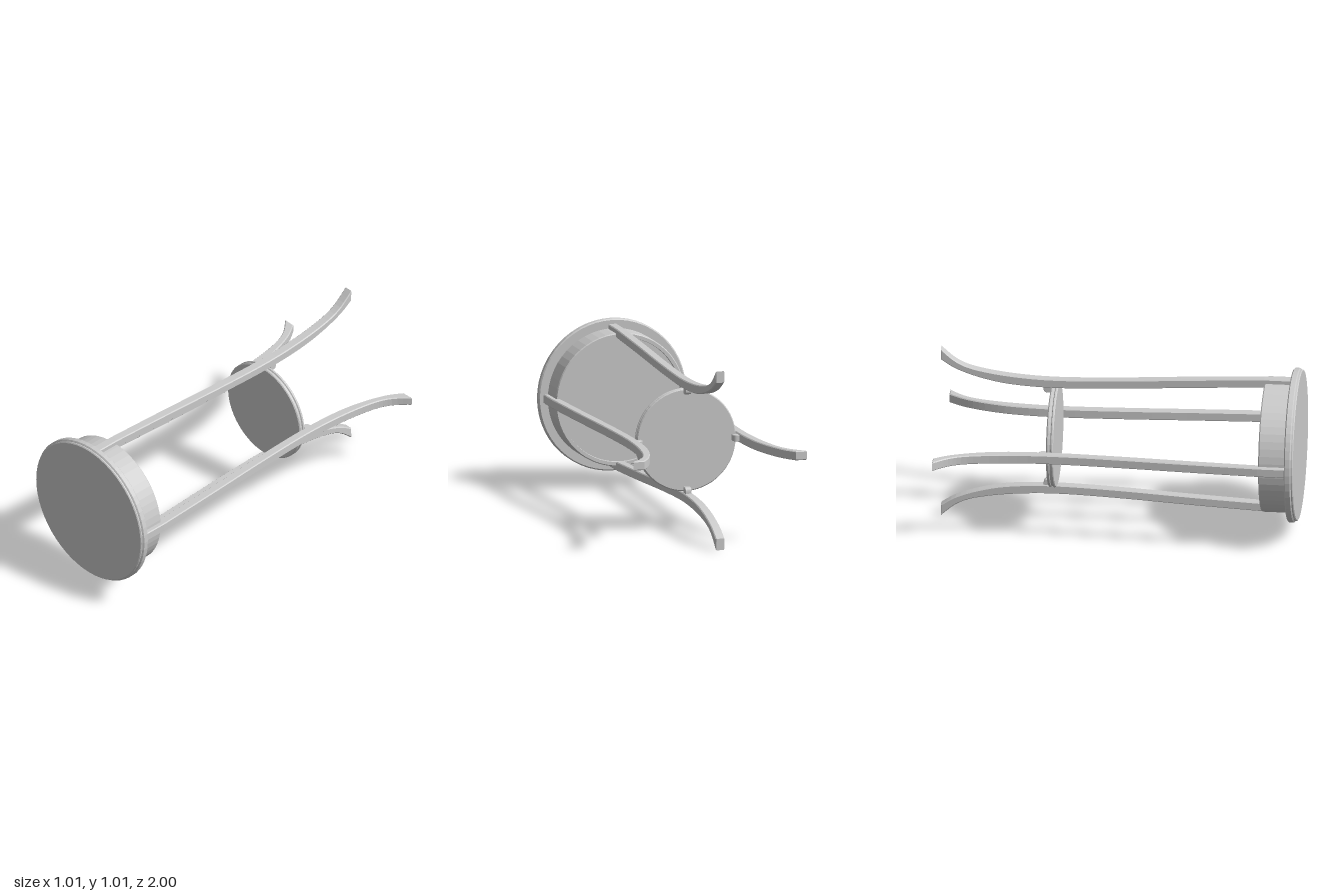
import * as THREE from 'three';

const material = new THREE.MeshStandardMaterial({ color: 0xcccccc, flatShading: true });

function addMesh(parent, name, geometry) {
  const mesh = new THREE.Mesh(geometry, material);
  mesh.name = name;
  parent.add(mesh);
  return mesh;
}

// Turned part from [radius, height] pairs, listed from bottom to top
function turned(points) {
  return new THREE.LatheGeometry(points.map(([r, h]) => new THREE.Vector2(r, h)), 56);
}

// Flat side outline given a slightly bevelled thickness, centred on z
function slab(shape, width, bevel) {
  const geometry = new THREE.ExtrudeGeometry(shape, {
    depth: width - 2 * bevel, bevelEnabled: true, bevelThickness: bevel,
    bevelSize: bevel, bevelOffset: -bevel, bevelSegments: 1, curveSegments: 6,
  });
  return geometry.translate(0, 0, -width / 2 + bevel);
}

function legShape() {
  const smooth = (pts) =>
    new THREE.SplineCurve(pts.map(([r, h]) => new THREE.Vector2(r, h))).getPoints(30);
  const outer = smooth([[0.4, 0.8], [0.38, 0.4], [0.357, 0.0], [0.345, -0.35],
    [0.357, -0.6], [0.388, -0.8], [0.43, -0.91], [0.505, -1]]);
  const inner = smooth([[0.35, 0.8], [0.33, 0.4], [0.307, 0.0], [0.295, -0.35],
    [0.306, -0.6], [0.337, -0.77], [0.385, -0.91], [0.44, -1]]);
  return new THREE.Shape([
    new THREE.Vector2(0.4, 0.95), ...outer,
    ...inner.reverse(), new THREE.Vector2(0.35, 0.95),
  ]);
}

// Small support block with a rounded lower inside corner
function bracketShape() {
  const s = new THREE.Shape();
  s.moveTo(0.305, -0.385);
  s.lineTo(0.262, -0.385);
  s.lineTo(0.262, -0.408);
  s.quadraticCurveTo(0.264, -0.428, 0.285, -0.428);
  s.lineTo(0.305, -0.428);
  s.closePath();
  return s;
}

export function createModel() {
  const model = new THREE.Group();
  model.name = 'roundTable';

  // The table is modelled upright, then laid on its side with its top facing +z
  const table = new THREE.Group();
  table.name = 'table';
  table.rotation.x = Math.PI / 2;
  table.position.y = 0.505;
  model.add(table);

  // Top with a stepped, rounded rim
  addMesh(table, 'tableTop', turned([
    [0, 0.95], [0.422, 0.95], [0.429, 0.956], [0.429, 0.982], [0.423, 0.987],
    [0.421, 0.988], [0.421, 0.995], [0.416, 1], [0, 1],
  ]));

  // Drum apron with a shallow recessed underside
  addMesh(table, 'apron', turned([
    [0, 0.815], [0.35, 0.815], [0.352, 0.802], [0.371, 0.802], [0.376, 0.808], [0.376, 0.952],
  ]));

  // Low shelf with a grooved edge
  addMesh(table, 'shelf', turned([
    [0, -0.388], [0.283, -0.388], [0.289, -0.382], [0.289, -0.374], [0.283, -0.37],
    [0.283, -0.364], [0.289, -0.36], [0.289, -0.353], [0.284, -0.348], [0, -0.348],
  ]));

  // Four curved legs, each with a shelf bracket
  const legGeometry = slab(legShape(), 0.052, 0.005);
  const bracketGeometry = slab(bracketShape(), 0.036, 0.003);
  for (let i = 0; i < 4; i++) {
    const side = new THREE.Group();
    side.name = 'legAssembly' + (i + 1);
    side.rotation.y = (i * Math.PI) / 2;
    addMesh(side, 'leg', legGeometry);
    addMesh(side, 'shelfBracket', bracketGeometry);
    table.add(side);
  }
  return model;
}
